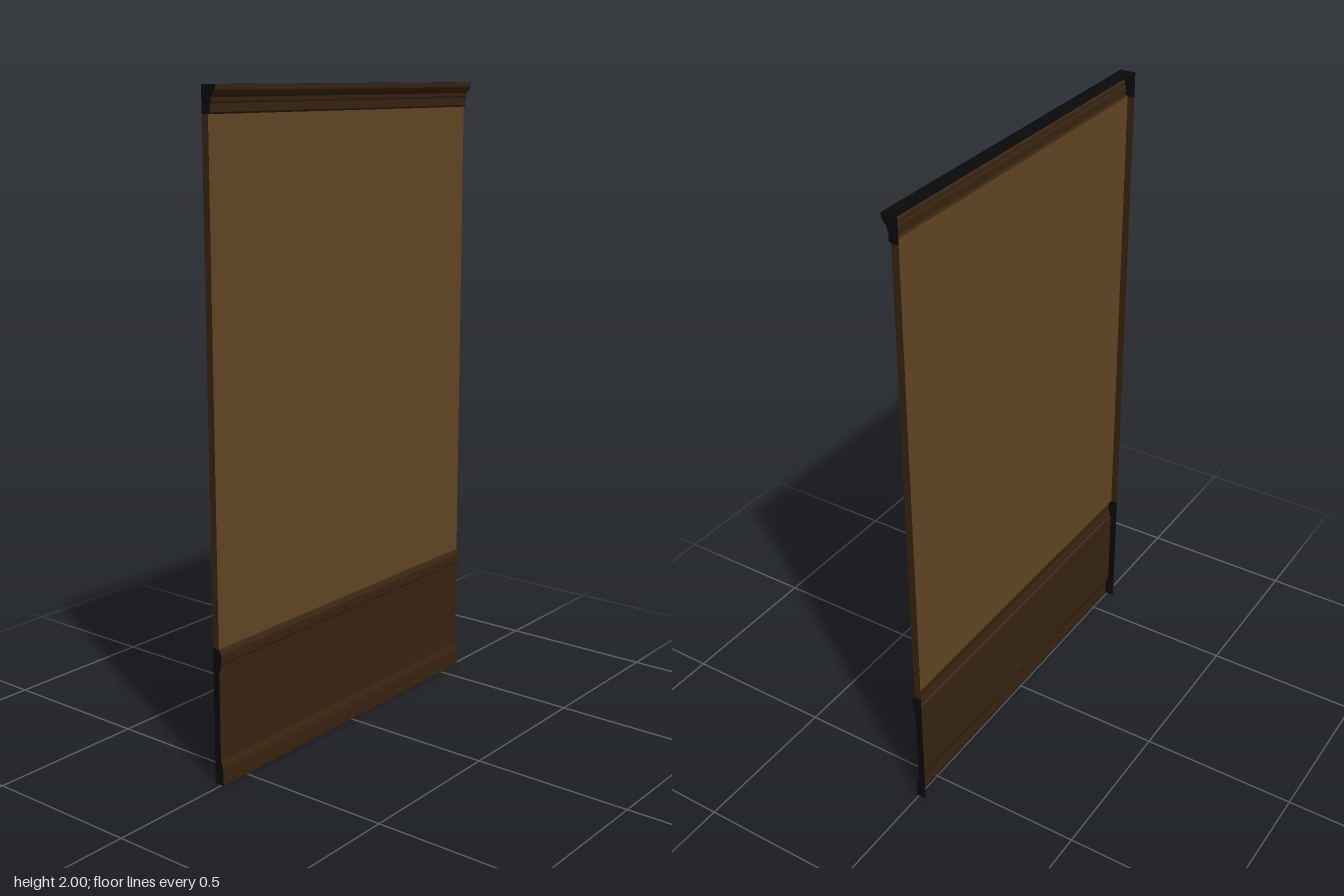
import * as THREE from 'three';

const HALF = 0.6;    // half the panel width
const BACK = -0.025; // depth of the open back edge

const material = (name, color) => {
  const m = new THREE.MeshStandardMaterial({ color, side: THREE.DoubleSide });
  m.name = name;
  return m;
};

// Sheet swept across the width along a [z, y] profile listed from bottom to top
function sheet(profile) {
  const geo = new THREE.PlaneGeometry(2 * HALF, 1, 1, profile.length - 1);
  const pos = geo.attributes.position;
  for (let i = 0; i < pos.count; i++) {
    const [z, y] = profile[profile.length - 1 - Math.floor(i / 2)];
    pos.setXYZ(i, pos.getX(i), y, z);
  }
  const flat = geo.toNonIndexed();
  flat.computeVertexNormals();
  return flat;
}

// End plate that fills the space between the profile and the back edge
function endPlate(profile, side) {
  const first = profile[0], last = profile[profile.length - 1];
  const outline = [[BACK, first[1]], ...profile, [BACK, last[1]]];
  const geo = new THREE.ShapeGeometry(new THREE.Shape(outline.map(p => new THREE.Vector2(...p))));
  geo.rotateY(side * Math.PI / 2);
  if (side > 0) geo.scale(1, 1, -1); // keep the profile facing the front on both ends
  if (side > 0) {
    geo.index.array.reverse(); // restore the outward winding after mirroring
  }
  geo.translate(side * HALF, 0, 0);
  geo.computeVertexNormals();
  return geo;
}

export function createModel() {
  const group = new THREE.Group();
  const wallBrown = material('wallBrown', 0x624623);
  const trimBrown = material('trimBrown', 0x38240f);
  const edgeBlack = material('edgeBlack', 0x0a0a0a);

  // Profiles from the floor upwards
  const parts = [
    { name: 'baseboard', front: trimBrown, end: edgeBlack,
      profile: [[0.007, 0], [0.007, 0.045], [0.004, 0.06], [-0.002, 0.075]] },
    { name: 'wainscot', front: trimBrown, end: edgeBlack,
      profile: [[-0.002, 0.075], [-0.002, 0.352]] },
    { name: 'chairRail', front: trimBrown, end: edgeBlack,
      profile: [[-0.002, 0.352], [0.004, 0.356], [0.004, 0.37], [0.007, 0.378], [0.007, 0.405], [-0.002, 0.42]] },
    { name: 'wallPanel', front: wallBrown, end: trimBrown,
      profile: [[-0.002, 0.42], [-0.002, 1.922]] },
    { name: 'crownMoulding', front: trimBrown, end: edgeBlack,
      profile: [[-0.002, 1.922], [0.005, 1.927], [0.005, 1.95], [0.008, 1.956], [0.009, 1.966],
        [0.017, 1.974], [0.024, 1.984], [0.025, 1.988], [0.025, 2]] },
  ];

  for (const { name, front, end, profile } of parts) {
    const part = new THREE.Group();
    part.name = name;
    const add = (label, geo, mat) => {
      const mesh = new THREE.Mesh(geo, mat);
      mesh.name = label;
      part.add(mesh);
    };
    add(name + 'Front', sheet(profile), front);
    add(name + 'LeftEnd', endPlate(profile, 1), end);
    add(name + 'RightEnd', endPlate(profile, -1), end);
    group.add(part);
  }

  // Flat lid on top of the crown
  const lid = new THREE.Mesh(sheet([[0.025, 2], [BACK, 2]]), edgeBlack);
  lid.name = 'topLid';
  group.add(lid);

  return group;
}
